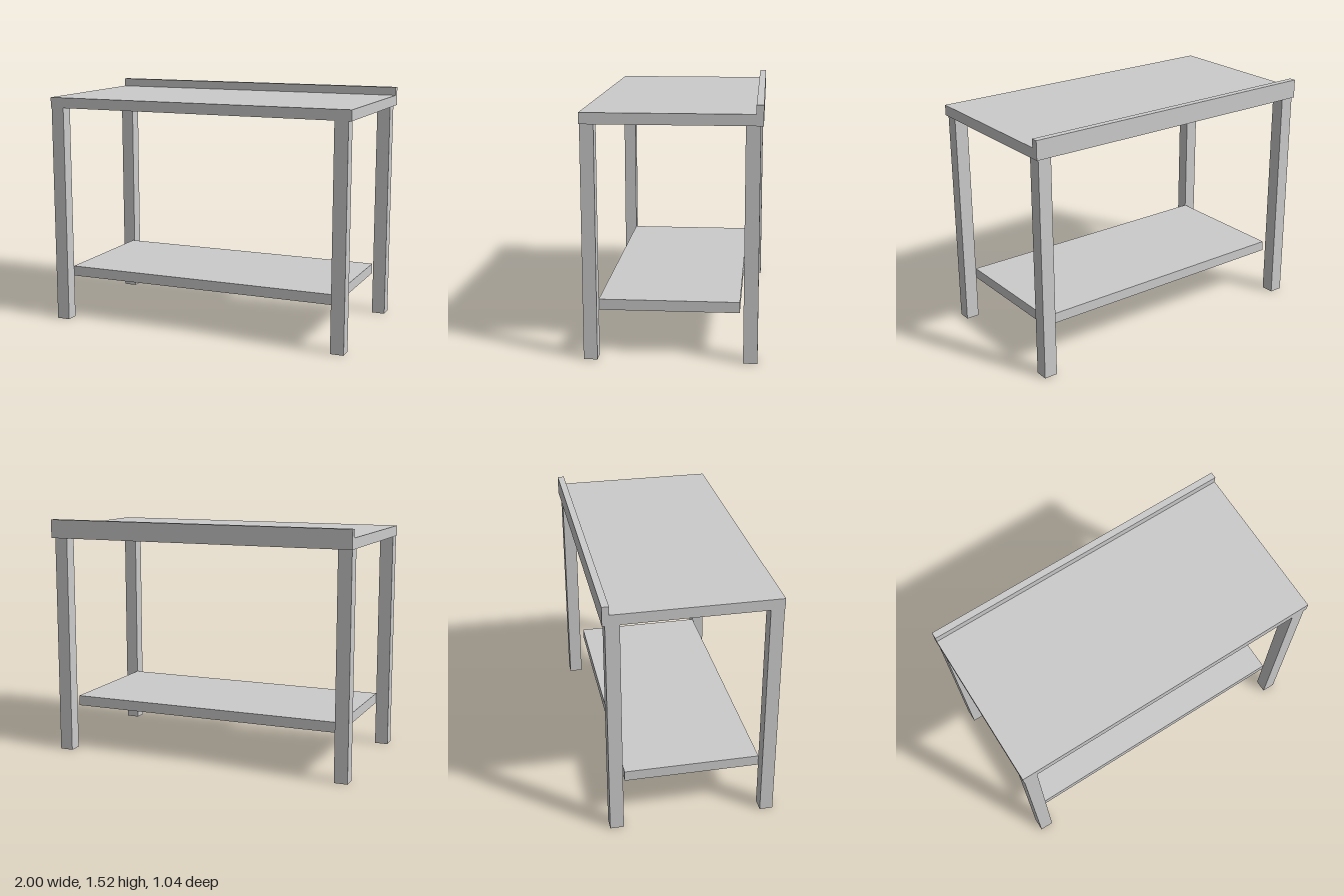
import * as THREE from 'three';

const material = new THREE.MeshStandardMaterial({ color: 0xcccccc, flatShading: true });
const SHEET = 0.005; // sheet metal thickness

// Box given by its extents along each axis
function box(name, [x0, x1], [y0, y1], [z0, z1]) {
  const mesh = new THREE.Mesh(new THREE.BoxGeometry(x1 - x0, y1 - y0, z1 - z0), material);
  mesh.name = name;
  mesh.position.set((x0 + x1) / 2, (y0 + y1) / 2, (z0 + z1) / 2);
  return mesh;
}

// Thin sheet with its four edges folded down, open underneath
function foldedSheet(name, [x0, x1], [y0, y1], [z0, z1]) {
  const group = new THREE.Group();
  group.name = name;
  const under = [y0, y1 - SHEET];
  const between = [x0 + SHEET, x1 - SHEET];
  group.add(
    box(name + 'Sheet', [x0, x1], [y1 - SHEET, y1], [z0, z1]),
    box(name + 'RightFlange', [x0, x0 + SHEET], under, [z0, z1]),
    box(name + 'LeftFlange', [x1 - SHEET, x1], under, [z0, z1]),
    box(name + 'FrontFlange', between, under, [z1 - SHEET, z1]),
    box(name + 'BackFlange', between, under, [z0, z0 + SHEET]),
  );
  return group;
}

export function createModel() {
  const model = new THREE.Group();
  model.name = 'workTable';

  // Worktop, with an upstand closing its back edge
  model.add(foldedSheet('worktop', [-1, 1], [1.402, 1.468], [-0.478, 0.52]));
  model.add(box('backUpstand', [-1, 1], [1.402, 1.52], [-0.52, -0.478]));

  // Lower shelf between the legs
  model.add(foldedSheet('shelf', [-0.91, 0.896], [0.28, 0.345], [-0.396, 0.438]));

  // Four square legs
  const sides = { right: [-0.995, -0.91], left: [0.896, 0.981] };
  const rows = { front: [0.438, 0.519], back: [-0.504, -0.42] };
  for (const [row, z] of Object.entries(rows)) {
    for (const [side, x] of Object.entries(sides)) {
      model.add(box(`${row}${side === 'left' ? 'Left' : 'Right'}Leg`, x, [0, 1.402], z));
    }
  }
  return model;
}
